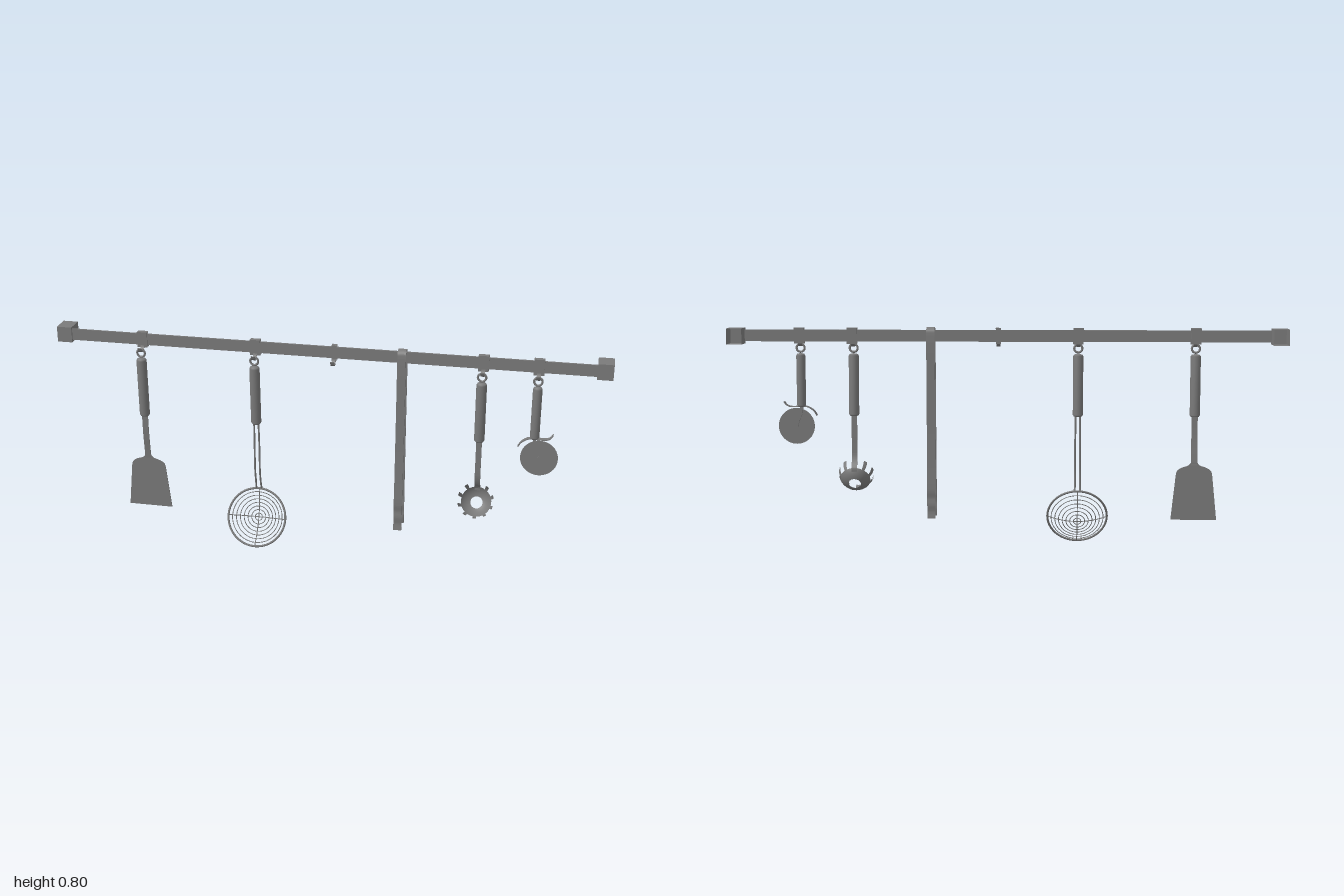
import * as THREE from 'three';

const mat = new THREE.MeshStandardMaterial({ color: 0x7a7a7a, side: THREE.DoubleSide });
const V = (x, y, z) => new THREE.Vector3(x, y, z);

function add(parent, name, geo, x = 0, y = 0, z = 0) {
  const m = new THREE.Mesh(geo, mat);
  m.name = name;
  m.position.set(x, y, z);
  parent.add(m);
  return m;
}

function group(parent, name) {
  const g = new THREE.Group();
  g.name = name;
  parent.add(g);
  return g;
}

// Bent metal strip: a path in 2D given a thickness and extruded to a width, centred on its width
function strip(pts, width, thick, smooth = true) {
  const raw = pts.map(p => V(p[0], p[1], 0));
  const path = smooth ? new THREE.CatmullRomCurve3(raw).getPoints(pts.length * 5) : raw;
  const a = [], b = [];
  path.forEach((p, i) => {
    const t = path[Math.min(i + 1, path.length - 1)].clone().sub(path[Math.max(i - 1, 0)]).normalize();
    const nx = -t.y * thick / 2, ny = t.x * thick / 2;
    a.push(new THREE.Vector2(p.x + nx, p.y + ny));
    b.unshift(new THREE.Vector2(p.x - nx, p.y - ny));
  });
  return new THREE.ExtrudeGeometry(new THREE.Shape([...a, ...b]), { depth: width, bevelEnabled: false })
    .translate(0, 0, -width / 2);
}
// Same strip with its path in the (z, y) plane
const sideStrip = (...args) => strip(...args).rotateY(-Math.PI / 2);

function wire(pts, r, segs = 24) {
  return new THREE.TubeGeometry(new THREE.CatmullRomCurve3(pts), segs, r, 6);
}

// Round grip with hanging eye, swung backwards by tilt
function grip(parent, x, r, bottom, tilt) {
  const g = group(parent, 'handle');
  g.position.set(x, 0.722, 0.01);
  g.rotation.x = tilt;
  const top = -0.022, bot = bottom - 0.722;
  const profile = [[0, bot], [r * 0.8, bot], [r, bot + 0.006], [r, (top + bot) / 2], [r, top - 0.006],
    [r * 0.8, top], [r * 0.35, top + 0.002], [0, top + 0.003]].map(p => new THREE.Vector2(...p));
  add(g, 'grip', new THREE.LatheGeometry(profile, 20));
  add(g, 'hangingEye', new THREE.TorusGeometry(0.0145, 0.004, 8, 24));
}

function hook(parent, x, width) {
  const g = group(parent, 'hook');
  g.position.x = x;
  add(g, 'hookClip', sideStrip([[-0.02, 0.739], [-0.02, 0.796], [-0.005, 0.796], [-0.005, 0.739]], width, 0.004, false));
  add(g, 'hookProng', sideStrip([[-0.006, 0.752], [-0.001, 0.738], [0.01, 0.729], [0.022, 0.732], [0.029, 0.746]], 0.014, 0.003));
}

function spatula(root, x) {
  const g = group(root, 'spatula');
  grip(g, x, 0.0185, 0.476, 0.02);
  add(g, 'spatulaShaft', sideStrip([[0.006, 0.49], [0.004, 0.4], [-0.003, 0.33], [-0.006, 0.3]], 0.022, 0.004), x);
  const half = new THREE.SplineCurve([[0.011, 0.008], [0.022, -0.004], [0.045, -0.012], [0.062, -0.025], [0.067, -0.05]]
    .map(p => new THREE.Vector2(...p))).getPoints(16);
  const outline = [...half, new THREE.Vector2(0.083, -0.203)];
  const mirrored = outline.map(p => new THREE.Vector2(-p.x, p.y)).reverse();
  const blade = new THREE.ExtrudeGeometry(new THREE.Shape([...outline, ...mirrored]), { depth: 0.003, bevelEnabled: false });
  add(g, 'spatulaBlade', blade, x, 0.303, -0.0075).rotation.x = 0.015;
}

function skimmer(root, x) {
  const g = group(root, 'skimmer');
  grip(g, x, 0.0185, 0.476, 0.045);
  for (const s of [-1, 1]) {
    add(g, 'skimmerShaftWire', wire([V(s * 0.008, 0.49, 0), V(s * 0.009, 0.38, -0.003), V(s * 0.009, 0.28, -0.004),
      V(s * 0.009, 0.235, -0.013), V(s * 0.01, 0.205, -0.02)], 0.0035), x);
  }
  // Dished wire basket: rings and spokes on a paraboloid
  const R = 0.109, depth = 0.034;
  const dish = r => -depth * (1 - (r / R) ** 2);
  const basket = group(g, 'basket');
  basket.position.set(x, 0.105, 0.023);
  basket.rotation.x = -0.413;
  add(basket, 'basketRim', new THREE.TorusGeometry(R, 0.004, 8, 48));
  for (let i = 1; i <= 7; i++) {
    const r = R * i / 8;
    add(basket, 'basketRing', new THREE.TorusGeometry(r, 0.0015, 6, 40), 0, 0, dish(r));
  }
  for (let k = 0; k < 2; k++) {
    const pts = [-1, -0.75, -0.5, -0.25, 0, 0.25, 0.5, 0.75, 1].map(t => V(t * R, 0, dish(t * R) - 0.001));
    add(basket, 'basketSpoke', wire(pts, 0.0017)).rotation.z = k * Math.PI / 2;
  }
}

function tongs(root, x) {
  const g = group(root, 'tongs');
  // One arm from the tip up to the bend, mirrored about z = -0.01
  const arm = [[0.031, 0.105], [0.028, 0.13], [0.03, 0.155], [0.0275, 0.18], [0.03, 0.205], [0.026, 0.3], [0.022, 0.55], [0.02, 0.77]];
  const bend = [[0.016, 0.788], [0, 0.797], [-0.016, 0.788]];
  const path = [...arm, ...bend, ...arm.map(([z, y]) => [-z, y]).reverse()];
  add(g, 'tongsBody', sideStrip(path, 0.03, 0.005), x, 0, -0.01);
}

function pastaServer(root, x) {
  const g = group(root, 'pastaServer');
  grip(g, x, 0.0185, 0.476, 0.045);
  add(g, 'serverShaft', sideStrip([[0, 0.49], [-0.002, 0.4], [-0.004, 0.33], [-0.014, 0.302], [-0.025, 0.287], [-0.026, 0.273]], 0.02, 0.005), x);
  // Open bowl with drain hole, ringed by prongs on the same sphere
  const bowl = group(g, 'serverBowl');
  bowl.position.set(x, 0.26, 0.035);
  bowl.rotation.x = Math.PI + 1.002;
  for (const r of [0.065, 0.0625]) {
    add(bowl, 'bowlShell', new THREE.SphereGeometry(r, 40, 8, 0, Math.PI * 2, 0.36, 0.64));
  }
  for (let i = 1; i <= 9; i++) {
    const a = Math.PI / 2 + i * Math.PI / 5;
    for (const r of [0.065, 0.0625]) {
      add(bowl, 'prong', new THREE.SphereGeometry(r, 4, 6, a - 0.1, 0.2, 0.98, 0.62));
    }
  }
}

function wheelCutter(root, x) {
  const g = group(root, 'wheelCutter');
  grip(g, x, 0.0165, 0.508, 0.01);
  add(g, 'fingerGuard', strip([[-0.056, 0.475], [-0.045, 0.492], [-0.022, 0.507], [0.01, 0.508], [0.04, 0.508], [0.055, 0.514], [0.064, 0.526]], 0.018, 0.003), x, 0, 0.01);
  add(g, 'cutterFork', strip([[0, 0.515], [0.002, 0.485], [0.012, 0.46], [0.02, 0.436]], 0.01, 0.01), x, 0, 0.008);
  add(g, 'cutterWheel', new THREE.CylinderGeometry(0.066, 0.066, 0.003, 48).rotateX(Math.PI / 2), x + 0.02, 0.436, 0.012);
  add(g, 'wheelPin', new THREE.CylinderGeometry(0.006, 0.006, 0.014, 16).rotateX(Math.PI / 2), x + 0.02, 0.436, 0.009);
}

export function createModel() {
  const root = new THREE.Group();
  root.name = 'utensilRack';

  // Flat rail between two hollow end brackets, open at the wall
  add(root, 'rail', new THREE.BoxGeometry(1.9, 0.042, 0.007), 0, 0.768, -0.0125);
  for (const s of [-1, 1]) {
    const box = new THREE.BoxGeometry(0.055, 0.057, 0.069);
    box.setIndex([...box.index.array].slice(0, 30));
    box.clearGroups();
    add(root, 'endBracket', box, s * 0.9725, 0.7675, -0.0365);
  }

  for (const x of [-0.677, -0.257, 0.557, 0.748]) hook(root, x, 0.037);
  hook(root, 0.03, 0.018);

  spatula(root, -0.679);
  skimmer(root, -0.257);
  tongs(root, 0.273);
  pastaServer(root, 0.555);
  wheelCutter(root, 0.748);
  return root;
}
